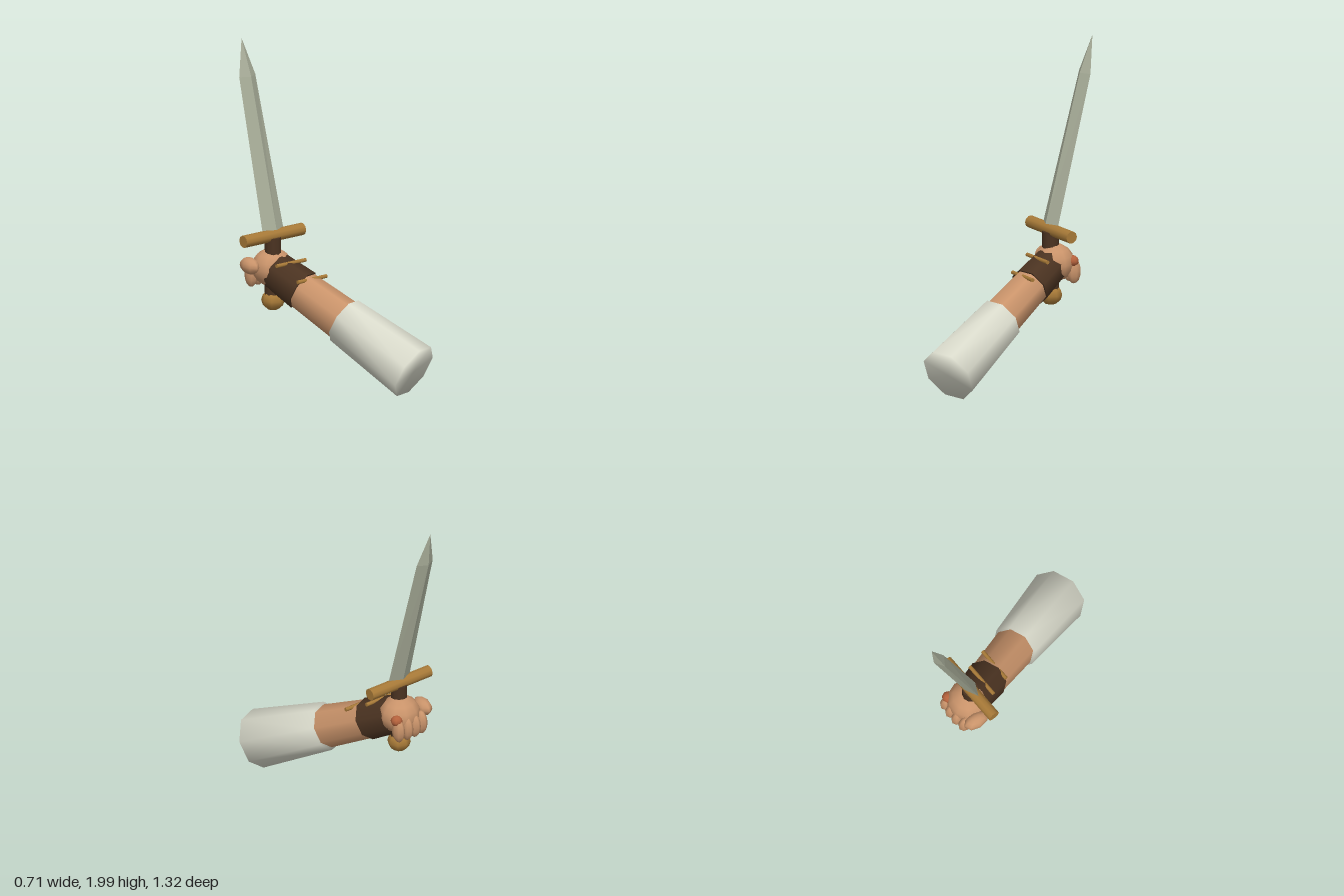
import * as THREE from 'three';
import { mergeVertices } from 'three/addons/utils/BufferGeometryUtils.js';

const colours = {
  cloth: 0xd9dacb, skin: 0xc9936a, ruddySkin: 0xb5623c,
  leather: 0x4b3321, brass: 0xa87a38, steel: 0xa6ab97,
};
const mats = {};
for (const [name, color] of Object.entries(colours)) {
  mats[name] = new THREE.MeshStandardMaterial({ color });
  mats[name].name = name;
}
mats.steel.flatShading = true;

const V = (x, y, z) => new THREE.Vector3(x, y, z);
const UP = V(0, 1, 0);

export function createModel() {
  const model = new THREE.Group();
  model.name = 'swordArm';

  function add(name, geometry, material) {
    const mesh = new THREE.Mesh(geometry, material);
    mesh.name = name;
    model.add(mesh);
    return mesh;
  }

  // Tapered cylinder between two points; soft shares normals over the rims
  function limb(name, material, a, b, ra, rb, sides = 8, soft = false) {
    const dir = b.clone().sub(a);
    let g = new THREE.CylinderGeometry(rb, ra, dir.length(), sides);
    if (soft) {
      g.deleteAttribute('normal');
      g.deleteAttribute('uv');
      g = mergeVertices(g, 1e-4);
      g.computeVertexNormals();
    }
    const mesh = add(name, g, material);
    mesh.position.copy(a).add(b).multiplyScalar(0.5);
    mesh.quaternion.setFromUnitVectors(UP, dir.normalize());
    return mesh;
  }

  function ball(name, material, p, s, w = 10, h = 8) {
    const mesh = add(name, new THREE.SphereGeometry(1, w, h), material);
    mesh.position.set(...p);
    mesh.scale.set(...s);
    return mesh;
  }

  // Point on the forearm axis at a given z
  const axis = (z) => V(-0.002 + z * 0.333, 0.457 - z * 0.516, z);

  // Sleeve, forearm and bracer share the axis
  limb('sleeve', mats.cloth, axis(0.575), axis(0.11), 0.177, 0.145, 8, true);
  limb('forearm', mats.skin, axis(0.3), axis(-0.36), 0.138, 0.108);
  limb('bracer', mats.leather, axis(-0.165), axis(-0.345), 0.126, 0.114);

  // Thin pins through the bracer and wrist
  limb('wristPin', mats.brass, V(-0.15, 0.62, -0.103), V(0.07, 0.62, -0.103), 0.012, 0.012);
  limb('bracerPin', mats.brass, V(-0.2, 0.698, -0.24), V(0.022, 0.698, -0.24), 0.012, 0.012);

  // Fist with thumb and four curled fingers
  ball('palm', mats.skin, [-0.122, 0.65, -0.378], [0.128, 0.115, 0.122]);
  const thumb = ball('thumb', mats.skin, [-0.258, 0.672, -0.42], [0.048, 0.05, 0.082], 8, 8);
  thumb.rotation.y = -0.12;
  for (let i = 0; i < 4; i++) {
    const z = -0.466 - (i === 1 || i === 2 ? 0.008 : 0);
    ball('finger', mats.skin, [-0.04 - i * 0.057, 0.6, z], [0.034, 0.076, 0.046], 8, 8);
  }
  ball('knuckle', mats.ruddySkin, [-0.035, 0.665, -0.455], [0.036, 0.034, 0.036], 8, 6);

  // Hilt
  limb('grip', mats.leather, V(-0.13, 0.46, -0.36), V(-0.13, 0.84, -0.36), 0.05, 0.05, 10);
  ball('pommel', mats.brass, [-0.13, 0.453, -0.36], [0.07, 0.063, 0.07], 8, 6);
  limb('crossguard', mats.brass, V(-0.354, 0.849, -0.362), V(0.095, 0.849, -0.362), 0.037, 0.037, 10);

  // Blade: diamond sections leaning back to a point
  const sections = [
    [0.89, -0.362, 0.079, 0.038],
    [1.78, -0.602, 0.061, 0.037],
    [2.0, -0.656, 0, 0],
  ];
  const rings = sections.map(([y, z, w, t]) => [
    [-0.13, y, z + t], [-0.13 + w, y, z], [-0.13, y, z - t], [-0.13 - w, y, z],
  ]);
  const tri = [];
  for (let s = 0; s < 2; s++) {
    for (let i = 0; i < 4; i++) {
      const j = (i + 1) % 4;
      const [a, b, c, d] = [rings[s][i], rings[s][j], rings[s + 1][j], rings[s + 1][i]];
      tri.push(...a, ...b, ...c);
      if (s === 0) tri.push(...a, ...c, ...d);
    }
  }
  const [p, q, r, t] = rings[0];
  tri.push(...p, ...r, ...q, ...p, ...t, ...r);
  const blade = new THREE.BufferGeometry();
  blade.setAttribute('position', new THREE.Float32BufferAttribute(tri, 3));
  blade.computeVertexNormals();
  add('blade', blade, mats.steel);

  return model;
}
